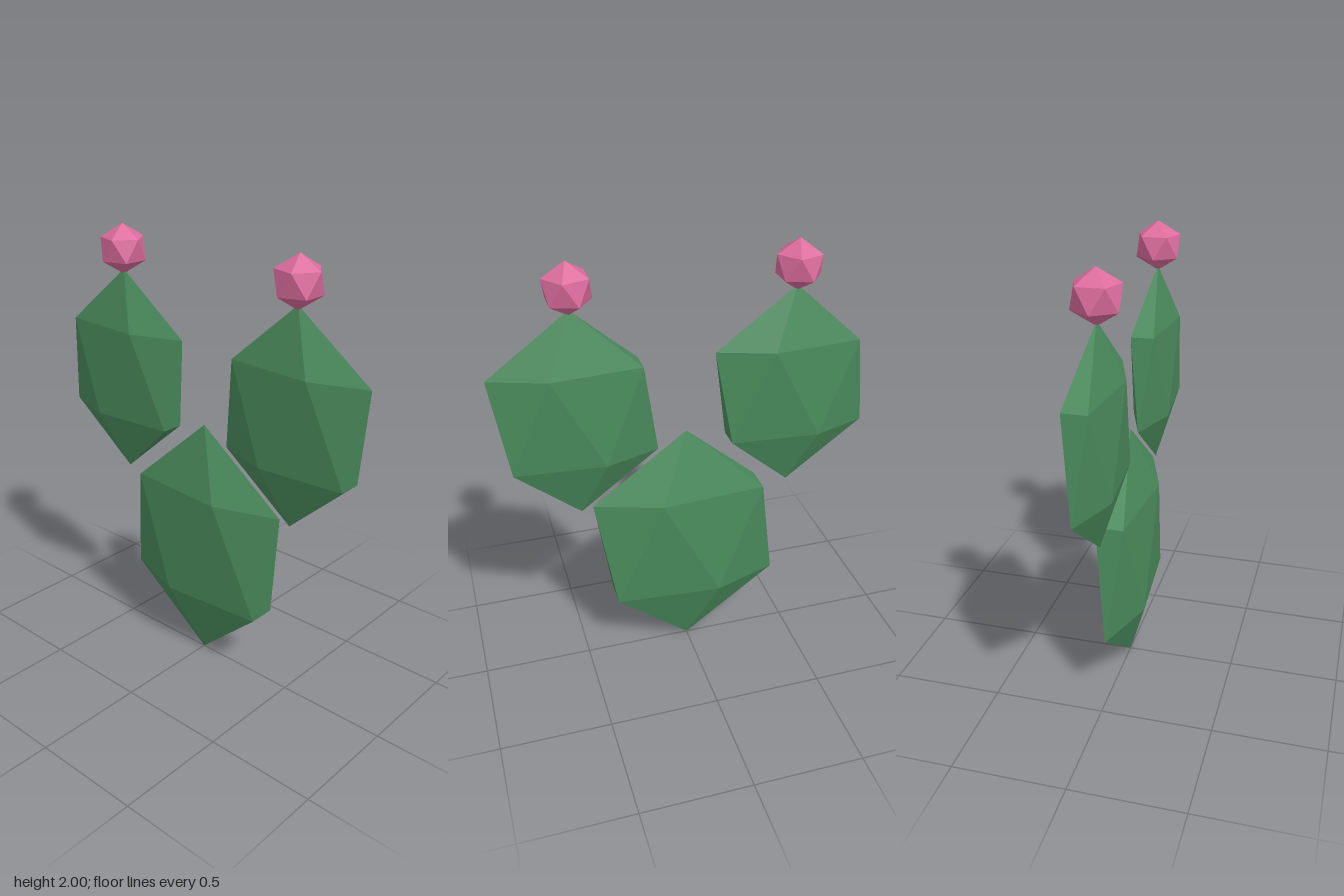
import * as THREE from 'three';

const padGreen = new THREE.MeshStandardMaterial({ name: 'cactus green', color: 0x4a8b5c, flatShading: true });
const flowerPink = new THREE.MeshStandardMaterial({ name: 'flower pink', color: 0xdc6c9c, flatShading: true });

// Icosahedron standing on one corner, stretched to the given radii
function gem(name, material, [rx, ry, rz], [x, y, z]) {
  const geometry = new THREE.IcosahedronGeometry(1, 0);
  geometry.rotateZ(-Math.atan(2 / (1 + Math.sqrt(5))));
  geometry.scale(rx, ry, rz);
  const mesh = new THREE.Mesh(geometry, material);
  mesh.name = name;
  mesh.position.set(x, y, z);
  return mesh;
}

export function createModel() {
  const model = new THREE.Group();
  model.name = 'pricklyPear';

  // Large base pad
  model.add(gem('basePad', padGreen, [0.487, 0.585, 0.12], [0, 0.587, 0]));

  // Two upper pads, each topped with a flower
  for (const [side, s] of [['left', 1], ['right', -1]]) {
    model.add(gem(side + 'Pad', padGreen, [0.4, 0.481, 0.1], [s * 0.488, 1.316, 0]));
    model.add(gem(side + 'Flower', flowerPink, [0.112, 0.112, 0.112], [s * 0.488, 1.888, 0]));
  }
  return model;
}
